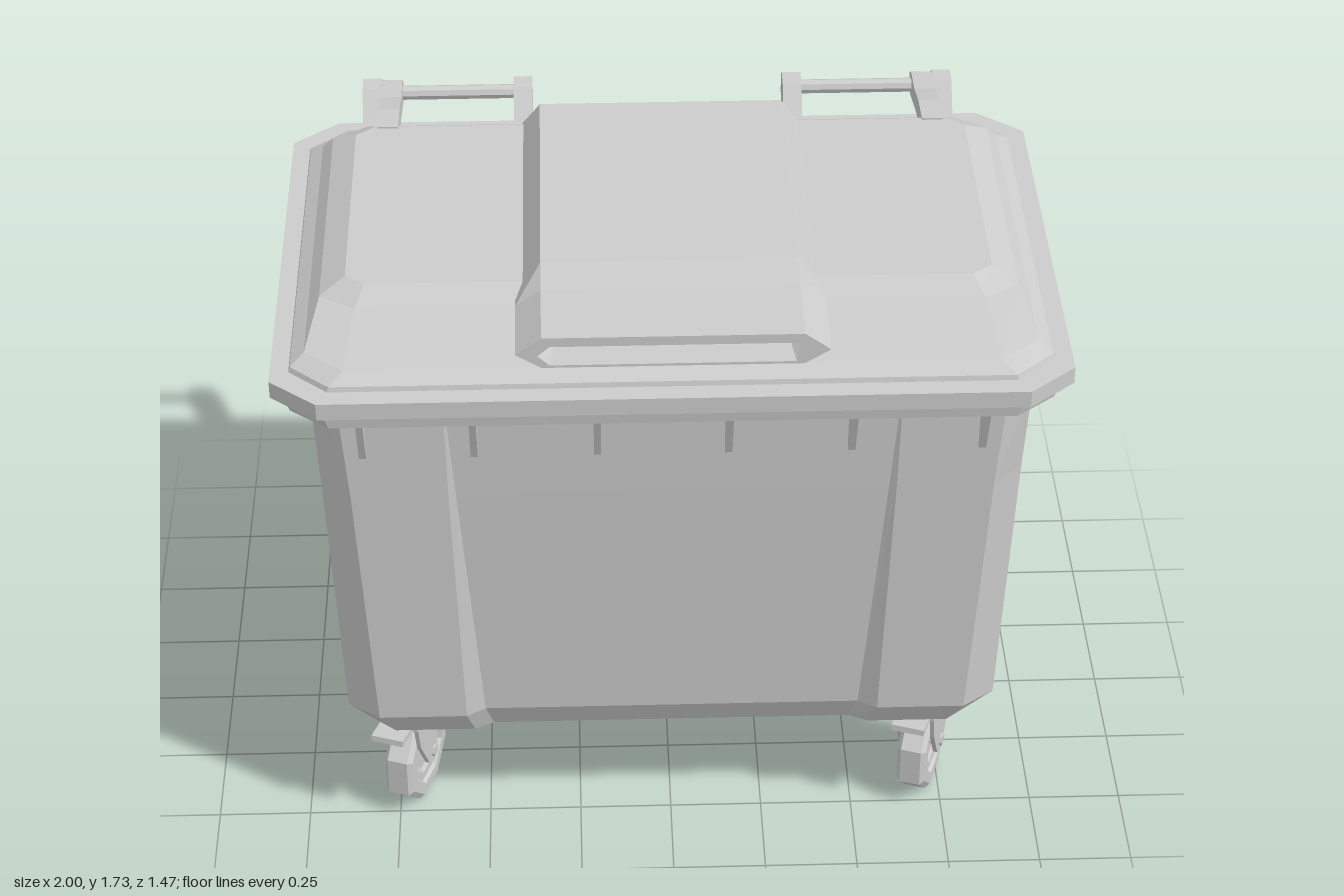
import * as THREE from 'three';

const mat = new THREE.MeshStandardMaterial({ color: 0xcccccc, flatShading: true });

function add(parent, name, geo, x = 0, y = 0, z = 0) {
  const m = new THREE.Mesh(geo, mat);
  m.name = name;
  m.position.set(x, y, z);
  parent.add(m);
  return m;
}

// Skin counter-clockwise outlines [t, points] stacked along +z, with both ends capped.
function loft(rings) {
  const n = rings[0][1].length, pos = [], idx = [];
  for (const [t, pts] of rings) for (const [u, v] of pts) pos.push(u, v, t);
  for (let r = 0; r < rings.length - 1; r++) {
    for (let i = 0; i < n; i++) {
      const a = r * n + i, b = r * n + (i + 1) % n;
      idx.push(a, b, b + n, a, b + n, a + n);
    }
  }
  const cap = (r, flip) => {
    const contour = rings[r][1].map(([u, v]) => new THREE.Vector2(u, v));
    for (const [a, b, c] of THREE.ShapeUtils.triangulateShape(contour, [])) {
      const o = r * n;
      idx.push(o + a, o + (flip ? c : b), o + (flip ? b : c));
    }
  };
  cap(0, true);
  cap(rings.length - 1, false);
  let g = new THREE.BufferGeometry();
  g.setAttribute('position', new THREE.Float32BufferAttribute(pos, 3));
  g.setIndex(idx);
  g = g.toNonIndexed();
  g.computeVertexNormals();
  return g;
}

const loftUp = (rings) => loft(rings).rotateX(-Math.PI / 2);

// Rectangle with cut corners: half width X, front F, back B, cut cx by cz.
// The optional panel [p, s, d] sinks the middle of front and back by d.
function outline(X, F, B, cx, cz, panel) {
  const back = [], front = [];
  if (panel) {
    const [p, s, d] = panel;
    back.push([p + s, -B], [p, -B - d], [-p, -B - d], [-p - s, -B]);
    front.push([-p - s, -F], [-p, -F + d], [p, -F + d], [p + s, -F]);
  }
  return [
    [X - cx, -F], [X, -F + cz], [X, -B - cz], [X - cx, -B], ...back,
    [-X + cx, -B], [-X, -B - cz], [-X, -F + cz], [-X + cx, -F], ...front,
  ];
}

// Side profile of [z, y] points, given a thickness across x.
function slab(points, width) {
  const shape = new THREE.Shape(points.map(([z, y]) => new THREE.Vector2(z, y)));
  return new THREE.ExtrudeGeometry(shape, { depth: width, bevelEnabled: false })
    .translate(0, 0, -width / 2).rotateY(-Math.PI / 2);
}

function makeCaster() {
  const g = new THREE.Group();
  const axleY = 0.14, axleZ = -0.045;
  // Octagonal wheel with a stepped hub recess on both faces
  const side = [[0, 0.022], [0.062, 0.022], [0.075, 0.03], [0.098, 0.03], [0.104, 0.04], [0.136, 0.04], [0.1515, 0.028]];
  const profile = [...side.map(([r, h]) => [r, -h]), ...side.slice().reverse()]
    .map(([r, h]) => new THREE.Vector2(r, h));
  const wheel = new THREE.LatheGeometry(profile, 8, Math.PI / 8).rotateZ(Math.PI / 2);
  add(g, 'wheel', wheel, 0, axleY, axleZ);
  add(g, 'axle', new THREE.CylinderGeometry(0.018, 0.018, 0.12, 6).rotateZ(Math.PI / 2), 0, axleY, axleZ);
  // Fork
  const cheek = [[0.065, 0.32], [0.045, 0.22], [-0.01, 0.12], [-0.045, 0.1], [-0.075, 0.12], [-0.07, 0.2], [-0.065, 0.32]];
  for (const s of [-1, 1]) add(g, 'forkCheek', slab(cheek.slice().reverse(), 0.012), s * 0.047, 0, 0);
  add(g, 'forkCrown', new THREE.BoxGeometry(0.106, 0.03, 0.13), 0, 0.31, 0);
  add(g, 'swivel', new THREE.CylinderGeometry(0.06, 0.06, 0.04, 8), 0, 0.335, 0);
  // Brake pedal
  add(g, 'brakePedal', new THREE.BoxGeometry(0.09, 0.018, 0.11), 0, 0.32, 0.1).rotation.x = -0.1;
  return g;
}

export function createModel() {
  const root = new THREE.Group();
  root.name = 'wheeledBin';

  // Tapered body with sunken front and back panels
  add(root, 'body', loftUp([
    [0.35, outline(0.805, 0.56, -0.40, 0.06, 0.05, [0.48, 0.05, 0.025])],
    [0.435, outline(0.868, 0.605, -0.43, 0.085, 0.06, [0.50, 0.05, 0.03])],
    [1.2, outline(0.898, 0.632, -0.483, 0.08, 0.085, [0.552, 0.018, 0.01])],
    [1.48, outline(0.907, 0.64, -0.50, 0.07, 0.06, [0.57, 0.004, 0.002])],
  ]));

  // Rim
  add(root, 'rim', loftUp([
    [1.467, outline(0.955, 0.70, -0.55, 0.1, 0.08)],
    [1.5, outline(0.965, 0.705, -0.555, 0.1, 0.08)],
    [1.518, outline(1, 0.735, -0.59, 0.12, 0.1)],
    [1.565, outline(1, 0.735, -0.59, 0.12, 0.1)],
  ]));

  // Lid, rising in steps to a flat top
  add(root, 'lid', loftUp([
    [1.56, outline(0.955, 0.685, -0.54, 0.1, 0.09)],
    [1.578, outline(0.95, 0.68, -0.53, 0.1, 0.09)],
    [1.6, outline(0.915, 0.64, -0.495, 0.1, 0.08)],
    [1.632, outline(0.885, 0.42, -0.46, 0.09, 0.06)],
    [1.667, outline(0.82, 0.36, -0.40, 0.05, 0.04)],
  ]));

  // Raised centre of the lid, ending in a hollow front grip
  const hex = (w, low, mid, high, inset = 0.065) => [
    [w - inset, low], [w, mid], [w - inset, high],
    [-w + inset, high], [-w, mid], [-w + inset, low],
  ];
  add(root, 'lidCentre', loft([
    [-0.54, hex(0.365, 1.56, 1.57, 1.585, 0.02)],
    [-0.49, hex(0.38, 1.57, 1.61, 1.67, 0.05)],
    [-0.40, hex(0.39, 1.6, 1.64, 1.73)],
    [0.37, hex(0.39, 1.6, 1.64, 1.73)],
    [0.43, hex(0.39, 1.6, 1.64, 1.688)],
    [0.645, hex(0.39, 1.6, 1.64, 1.688)],
    [0.645, hex(0.335, 1.607, 1.635, 1.662, 0.03)],
    [0.56, hex(0.325, 1.61, 1.635, 1.658, 0.03)],
  ]));

  // Ribs below the rim: front row, then both sides
  for (const x of [-0.78, -0.5, -0.19, 0.14, 0.45, 0.78])
    add(root, 'frontRib', slab([[0.625, 1.33], [0.645, 1.33], [0.7, 1.47], [0.625, 1.47]], 0.018), x);
  for (const s of [-1, 1]) for (const z of [0.45, 0.09, -0.285]) {
    const rib = slab([[0.89, 1.285], [0.902, 1.285], [0.955, 1.47], [0.89, 1.47]], 0.018);
    add(root, 'sideRib', rib.rotateY(s * Math.PI / 2), 0, 0, z);
  }

  // Rear brackets, hinge bars and the lid arms that hold them
  const bracket = [[-0.47, 1.34], [-0.47, 1.46], [-0.57, 1.53], [-0.66, 1.63], [-0.71, 1.635], [-0.735, 1.615], [-0.735, 1.565]];
  const arm = [[-0.39, 1.63], [-0.39, 1.672], [-0.49, 1.668], [-0.6, 1.64], [-0.7, 1.635], [-0.735, 1.615], [-0.735, 1.575], [-0.7, 1.565], [-0.56, 1.6]];
  for (const s of [-1, 1]) {
    for (const x of [0.373, 0.79]) add(root, 'hingeBracket', slab(bracket, 0.052), s * x);
    add(root, 'hingeBar', new THREE.CylinderGeometry(0.02, 0.02, 0.42, 8).rotateZ(Math.PI / 2), s * 0.582, 1.6, -0.69);
    add(root, 'lidArm', slab(arm, 0.056), s * 0.735);
  }

  // Casters, each swivelled a little
  const casters = [
    ['frontLeftCaster', 0.69, 0.43, 0.33], ['frontRightCaster', -0.72, 0.43, 0.33],
    ['backLeftCaster', 0.75, -0.31, 0.46], ['backRightCaster', -0.72, -0.31, 0.4],
  ];
  for (const [name, x, z, turn] of casters) {
    const c = makeCaster();
    c.name = name;
    c.position.set(x, 0, z);
    c.rotation.y = -turn;
    root.add(c);
  }
  return root;
}
